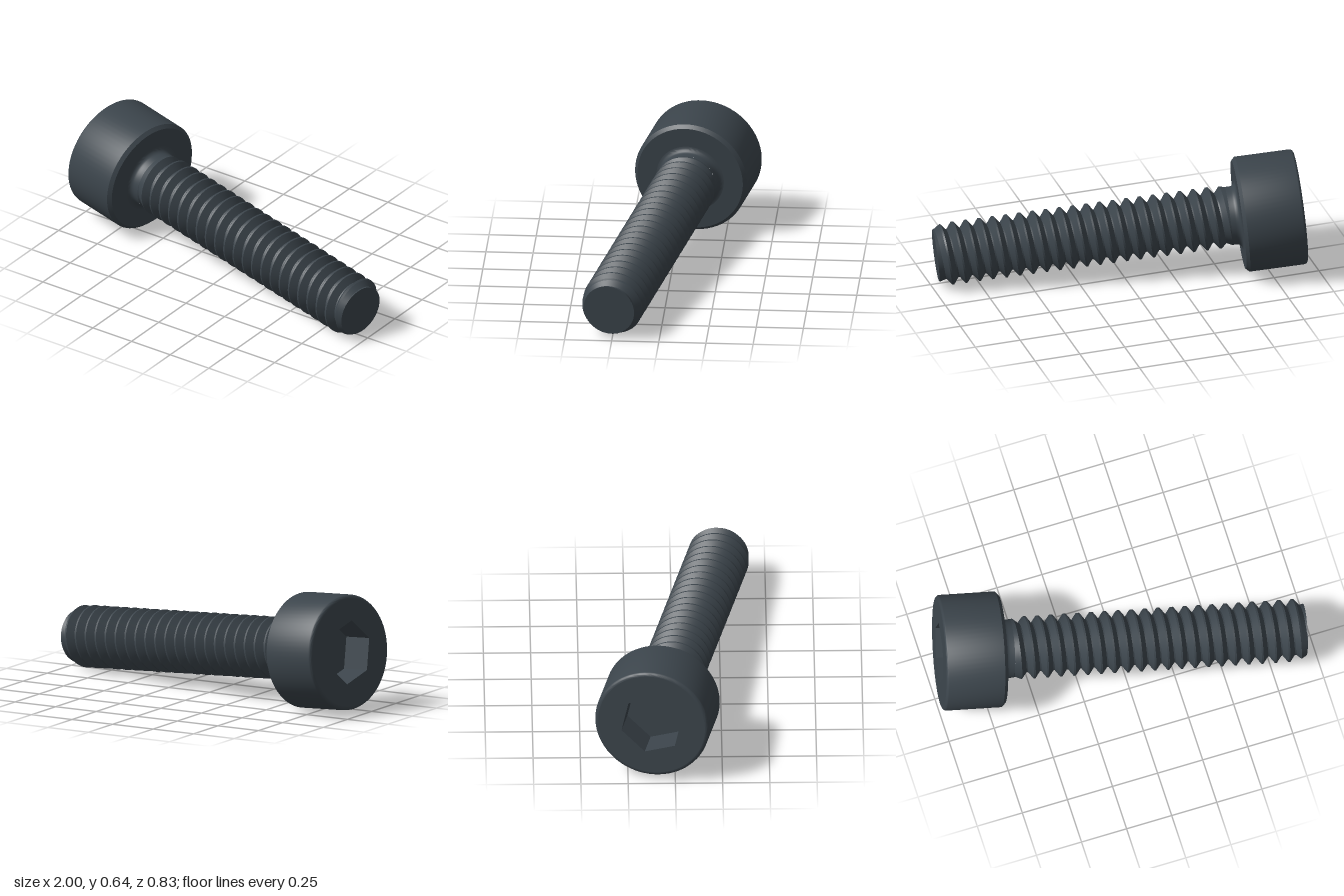
import * as THREE from 'three';
import { toCreasedNormals } from 'three/addons/utils/BufferGeometryUtils.js';

const HEAD_R = 0.307, HEAD_H = 0.33, FILLET = 0.02, CHAMFER = 0.018;
const HEX_R = 0.17, HEX_DEPTH = 0.165;
const NECK_R = 0.155, NECK_END = HEAD_H + 0.055;
const CREST = 0.166, ROOT = 0.13, PITCH = 0.0716, TIP_R = 0.138, END = 1.95;

const steel = new THREE.MeshStandardMaterial({ color: 0x3b444b });
steel.name = 'charcoalSteel';

// Turned part around the y axis, with hard edges kept sharp
function turned(points, segments = 72, start = 0) {
  const profile = points.map(([r, y]) => new THREE.Vector2(r, y));
  return toCreasedNormals(new THREE.LatheGeometry(profile, segments, start), 0.5);
}

// Quarter-round run of profile points
function arc(cx, cy, r, from, to, steps = 5) {
  return Array.from({ length: steps + 1 }, (_, i) => {
    const a = from + (to - from) * i / steps;
    return [cx + r * Math.cos(a), cy + r * Math.sin(a)];
  });
}

// Right-handed thread: a V profile swept along a helix, one strip per facet
function threadGeometry() {
  const steps = 64, turns = Math.ceil((END - NECK_END) / PITCH) + 1;
  const profile = [[0, ROOT], [0.1, ROOT], [0.48, CREST], [0.62, CREST], [1, ROOT]];
  const positions = [], index = [];
  const point = (i, [offset, radius]) => {
    const turn = i / steps - 1;
    const s = THREE.MathUtils.clamp(NECK_END + PITCH * (turn + offset), NECK_END, END);
    // Run out into the neck and the tip chamfer
    const startFade = Math.min(1, (s - NECK_END) / 0.05);
    const endFade = Math.min(1, (END - s) / 0.05);
    let r = THREE.MathUtils.lerp(NECK_R, radius, startFade);
    r = THREE.MathUtils.lerp(TIP_R, r, endFade);
    const a = turn * Math.PI * 2;
    positions.push(r * Math.sin(a), s, r * Math.cos(a));
  };
  for (let j = 0; j < profile.length - 1; j++) {
    const base = positions.length / 3;
    const count = (turns + 1) * steps;
    for (let i = 0; i <= count; i++) {
      point(i, profile[j]);
      point(i, profile[j + 1]);
      if (i === count) continue;
      const a = base + i * 2;
      index.push(a, a + 2, a + 1, a + 2, a + 3, a + 1);
    }
  }
  const geometry = new THREE.BufferGeometry();
  geometry.setAttribute('position', new THREE.Float32BufferAttribute(positions, 3));
  geometry.setIndex(index);
  geometry.computeVertexNormals();
  return geometry;
}

// Flat drive face with a hexagonal opening
function driveFaceGeometry() {
  const shape = new THREE.Shape().absarc(0, 0, HEAD_R - FILLET, 0, Math.PI * 2);
  const hex = Array.from({ length: 6 }, (_, i) => {
    const a = Math.PI / 6 + i * Math.PI / 3;
    return new THREE.Vector2(HEX_R * Math.sin(a), HEX_R * Math.cos(a));
  });
  shape.holes.push(new THREE.Path(hex));
  return new THREE.ShapeGeometry(shape, 72).rotateX(Math.PI / 2);
}

export function createModel() {
  const model = new THREE.Group();
  model.name = 'socketHeadScrew';
  const screw = new THREE.Group();
  screw.name = 'screw';
  model.add(screw);

  const add = (name, geometry) => {
    const mesh = new THREE.Mesh(geometry, steel);
    mesh.name = name;
    screw.add(mesh);
  };

  // Head with rounded outer rim and chamfered underside
  add('head', turned([
    ...arc(HEAD_R - FILLET, FILLET, FILLET, -Math.PI / 2, 0),
    [HEAD_R, HEAD_H - CHAMFER],
    [HEAD_R - CHAMFER, HEAD_H],
    [NECK_R + 0.03, HEAD_H],
  ]));
  add('driveFace', driveFaceGeometry());
  add('hexSocket', turned([[0, HEX_DEPTH], [HEX_R, HEX_DEPTH], [HEX_R, 0]], 6, Math.PI / 6));

  // Filleted neck, threaded shank and flat tip
  add('neck', turned([
    ...arc(NECK_R + 0.03, HEAD_H + 0.03, 0.03, Math.PI * 1.5, Math.PI),
    [NECK_R, NECK_END],
  ]));
  add('thread', threadGeometry());
  add('tip', turned([[TIP_R, END], [0, END]]));

  // Lie on the ground, resting on the head rim and the last thread
  const axis = new THREE.Vector3(1, -0.0905, 0.206).normalize();
  screw.quaternion.setFromUnitVectors(new THREE.Vector3(0, 1, 0), axis);
  screw.position.set(-0.937, 0.333, -0.125);
  return model;
}
